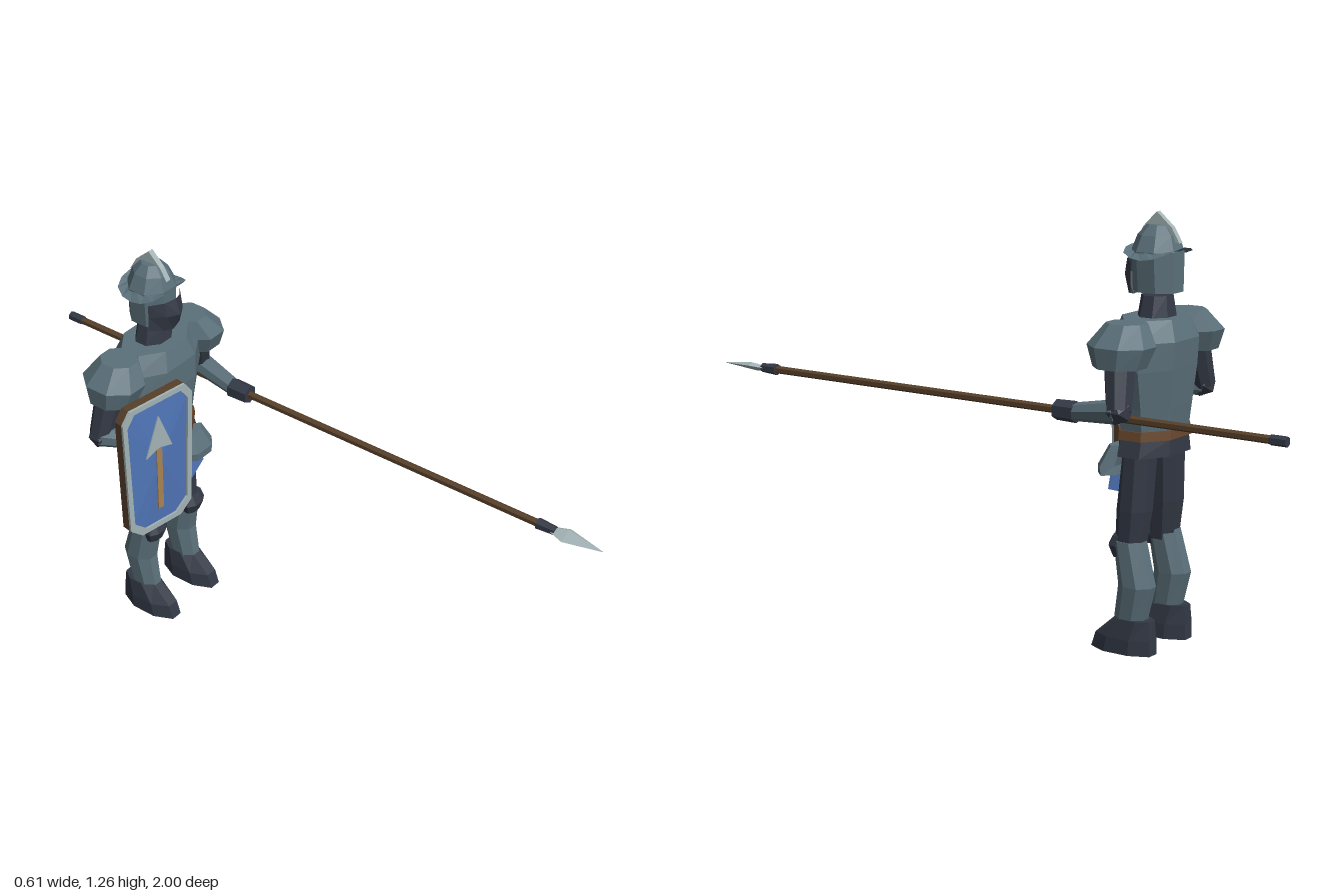
import * as THREE from 'three';

const mat = (name, color, extra = {}) =>
  Object.assign(new THREE.MeshStandardMaterial({ color, flatShading: true, ...extra }), { name });

export function createModel() {
  const steel = mat('steel', 0x5b707a);
  const dark = mat('darkSteel', 0x333945, { side: THREE.DoubleSide });
  const bright = mat('brightSteel', 0xa3b3b5, { side: THREE.DoubleSide });
  const blue = mat('blueCloth', 0x5075b8, { side: THREE.DoubleSide });
  const leather = mat('leather', 0x68472d);
  const wood = mat('shaftWood', 0x57402a);
  const gold = mat('tan', 0xa98452);

  const model = new THREE.Group();
  model.name = 'armouredSoldier';
  const body = new THREE.Group();
  body.name = 'body';
  body.position.x = 0.025;
  model.add(body);

  const add = (parent, name, geometry, material) => {
    const mesh = new THREE.Mesh(geometry, material);
    mesh.name = name;
    parent.add(mesh);
    return mesh;
  };
  const V = (x, y, z) => new THREE.Vector3(x, y, z);

  const mesh3 = (points, index) => {
    const g = new THREE.BufferGeometry();
    g.setAttribute('position', new THREE.Float32BufferAttribute(points.flat(), 3));
    g.setIndex(index);
    g.computeVertexNormals();
    return g;
  };

  // Closed eight-sided loft; each section is [y, centre x, centre z, half width, half depth], bottom to top
  const loft = (sections, n = 8) => {
    const pts = [], idx = [], k = 1 / Math.cos(Math.PI / n);
    for (const [y, cx, cz, rx, rz] of sections)
      for (let i = 0; i < n; i++) {
        const a = ((i + 0.5) / n) * Math.PI * 2;
        pts.push([cx + Math.sin(a) * rx * k, y, cz + Math.cos(a) * rz * k]);
      }
    const top = (sections.length - 1) * n, c = pts.length;
    for (const [y, cx, cz] of [sections[0], sections.at(-1)]) pts.push([cx, y, cz]);
    for (let i = 0; i < n; i++) {
      const j = (i + 1) % n;
      for (let r = 0; r < top; r += n) idx.push(r + i, r + j, r + n + j, r + i, r + n + j, r + n + i);
      idx.push(c, j, i, c + 1, top + i, top + j);
    }
    return mesh3(pts, idx);
  };

  // Tapered rod between two points
  const rod = (a, b, ra, rb, n = 8) => {
    const d = b.clone().sub(a);
    const g = new THREE.CylinderGeometry(rb, ra, d.length(), n);
    g.applyQuaternion(new THREE.Quaternion().setFromUnitVectors(V(0, 1, 0), d.normalize()));
    return g.translate(...a.clone().add(b).multiplyScalar(0.5).toArray());
  };
  const shape = (pts) => new THREE.Shape(pts.map(([x, y]) => new THREE.Vector2(x, y)));
  const plate = (pts, depth) => new THREE.ExtrudeGeometry(shape(pts), { depth, bevelEnabled: false });

  // Torso, belt and skirt
  add(body, 'breastplate', loft([
    [0.64, 0, -0.45, 0.122, 0.082], [0.72, 0, -0.45, 0.135, 0.09], [0.83, 0, -0.45, 0.158, 0.1],
    [0.91, 0, -0.452, 0.158, 0.103], [0.97, 0, -0.45, 0.115, 0.082]]), steel);
  add(body, 'belt', loft([[0.628, 0, -0.45, 0.134, 0.09], [0.655, 0, -0.45, 0.13, 0.088]]), leather);
  add(body, 'skirt', loft([[0.58, 0, -0.45, 0.14, 0.086], [0.628, 0, -0.45, 0.126, 0.084]]), dark);
  add(body, 'buckle', new THREE.BoxGeometry(0.034, 0.024, 0.008).translate(0, 0.641, -0.358), gold);
  add(body, 'neck', loft([[0.965, 0, -0.455, 0.062, 0.05], [1.03, 0, -0.455, 0.045, 0.042]]), dark);

  // Legs, tassets and shoulders, mirrored
  for (const s of [-1, 1]) {
    const side = s > 0 ? 'left' : 'right';
    add(body, side + 'Thigh', loft([
      [0.3, s * 0.09, -0.43, 0.04, 0.042], [0.42, s * 0.085, -0.44, 0.049, 0.048],
      [0.585, s * 0.075, -0.45, 0.056, 0.044]]), dark);
    add(body, side + 'Shin', loft([
      [0.09, s * 0.097, -0.437, 0.034, 0.048], [0.2, s * 0.097, -0.458, 0.042, 0.053],
      [0.33, s * 0.092, -0.43, 0.042, 0.046]]), steel);
    add(body, side + 'KneePad', loft([
      [0.28, s * 0.092, -0.4, 0.03, 0.018], [0.315, s * 0.092, -0.395, 0.042, 0.026],
      [0.345, s * 0.092, -0.402, 0.036, 0.018]]), dark);
    add(body, side + 'Boot', loft([
      [0, s * 0.098, -0.415, 0.046, 0.1], [0.045, s * 0.098, -0.422, 0.046, 0.092],
      [0.102, s * 0.098, -0.452, 0.038, 0.058]]), dark);

    add(body, side + 'Cloth', mesh3([
      [s * 0.018, 0.59, -0.368], [s * 0.11, 0.59, -0.385],
      [s * 0.118, 0.475, -0.37], [s * 0.03, 0.448, -0.353]], [0, 1, 2, 0, 2, 3]), blue);
    // Flared tasset with a raised middle
    add(body, side + 'Tasset', loft([
      [0.52, s * 0.088, -0.368, 0.056, 0.03], [0.545, s * 0.088, -0.365, 0.058, 0.028],
      [0.605, s * 0.08, -0.385, 0.042, 0.02]], 6), steel);

    add(body, side + 'Pauldron', loft([
      [0.85, s * 0.195, -0.455, 0.066, 0.072], [0.91, s * 0.186, -0.455, 0.08, 0.094],
      [0.97, s * 0.158, -0.455, 0.052, 0.056]]), steel);

    // Bent arm
    const elbow = V(s * 0.243, 0.735, s > 0 ? -0.485 : -0.465);
    const wrist = s > 0 ? V(0.22, 0.712, -0.32) : V(-0.185, 0.735, -0.335);
    add(body, side + 'UpperArm', rod(V(s * 0.19, 0.9, -0.455), elbow, 0.05, 0.037), dark);
    add(body, side + 'Elbow', new THREE.IcosahedronGeometry(0.04, 0).translate(...elbow.toArray()), dark);
    add(body, side + 'Forearm', rod(elbow, wrist, 0.036, 0.026), steel);
  }
  add(body, 'leftGauntlet', rod(V(0.22, 0.712, -0.33), V(0.22, 0.712, -0.262), 0.032, 0.03, 6), dark);
  add(body, 'rightGauntlet', new THREE.BoxGeometry(0.045, 0.05, 0.04).translate(-0.18, 0.735, -0.325), dark);

  // Helmet with crown, brim, crest and visor
  add(body, 'helmet', loft([
    [1.04, 0, -0.457, 0.062, 0.068], [1.155, 0, -0.455, 0.07, 0.07],
    [1.2, 0, -0.455, 0.05, 0.055], [1.228, 0, -0.455, 0.027, 0.03]]), steel);
  const brimPts = [], brimIdx = [];
  for (let i = 0; i < 16; i++) {
    const a = (i / 16) * Math.PI * 2, x = Math.sin(a), z = Math.cos(a);
    const q = Math.pow(Math.abs(x) ** 3 + Math.abs(z) ** 3, -1 / 3); // squared-off oval
    brimPts.push([x * 0.068, 1.155, -0.455 + z * 0.068]);
    brimPts.push([x * q * 0.096, 1.135 + 0.033 * z * z, -0.455 + z * q * 0.085]);
    const p = 2 * i, r = (2 * i + 2) % 32;
    brimIdx.push(p, p + 1, r + 1, p, r + 1, r);
  }
  const steelSheet = mat('steelSheet', 0x5b707a, { side: THREE.DoubleSide });
  add(body, 'helmetBrim', mesh3(brimPts, brimIdx), steelSheet);
  add(body, 'crest', plate([
    [-0.53, 1.18], [-0.39, 1.185], [-0.412, 1.222], [-0.455, 1.265], [-0.505, 1.222]], 0.018)
    .rotateY(-Math.PI / 2).translate(0.009, 0, 0), bright);

  // Pointed visor sheet, three rows of five points
  const visor = [], visorIdx = [];
  for (const [y, drop, out] of [[1.125, -0.01, 0.025], [1.085, 0, 0.04], [1.04, 0.016, 0.012]])
    for (let i = -2; i <= 2; i++) {
      const m = 1 - Math.abs(i) / 2;
      visor.push([i * 0.036, y - drop * m, -0.41 + 0.022 * Math.min(1, m * 2) + out * m]);
    }
  for (let r = 0; r < 2; r++)
    for (let i = 0; i < 4; i++) {
      const p = r * 5 + i;
      visorIdx.push(p, p + 5, p + 6, p, p + 6, p + 1);
    }
  add(body, 'visor', mesh3(visor, visorIdx), dark);

  // Spear
  const spear = new THREE.Group();
  spear.name = 'spear';
  spear.position.set(0.245, 0.712, 0);
  model.add(spear);
  add(spear, 'shaft', rod(V(0, 0, -0.96), V(0, 0, 0.8), 0.012, 0.012, 6), wood);
  add(spear, 'buttCap', rod(V(0, 0, -1), V(0, 0, -0.95), 0.015, 0.015, 6), dark);
  add(spear, 'socket', rod(V(0, 0, 0.785), V(0, 0, 0.845), 0.018, 0.014, 6), dark);
  const blade = loft([[0.83, 0, 0, 0.012, 0.01], [0.88, 0, 0, 0.034, 0.014], [1, 0, 0, 0.001, 0.001]], 4);
  blade.rotateY(Math.PI / 4).scale(0.72, 1, 0.72); // diamond section
  add(spear, 'spearhead', blade.rotateX(Math.PI / 2).scale(1.1, 0.6, 1), bright);

  // Shield
  const shield = new THREE.Group();
  shield.name = 'shield';
  shield.position.set(-0.17, 0.69, -0.298);
  shield.rotation.y = -0.15;
  model.add(shield);
  const outline = [[0.107, 0.235], [-0.107, 0.235], [-0.135, 0.197], [-0.122, -0.197],
    [-0.077, -0.235], [0.077, -0.235], [0.122, -0.197], [0.135, 0.197]];
  const inner = outline.map(([x, y]) => [x - Math.sign(x) * 0.017, y - Math.sign(y) * 0.017]);
  add(shield, 'shieldBack', plate(outline, 0.028).translate(0, 0, -0.013), wood);
  const rim = shape(outline);
  rim.holes.push(shape(inner));
  add(shield, 'shieldRim', new THREE.ExtrudeGeometry(rim, { depth: 0.008, bevelEnabled: false })
    .translate(0, 0, 0.015), bright);
  const fan = [];
  for (let i = 0; i < 8; i++) fan.push(8, i, (i + 1) % 8);
  add(shield, 'shieldField', mesh3([...inner.map(([x, y]) => [x, y, 0.016]), [0, 0.02, 0.03]], fan), blue);
  add(shield, 'emblemHead', plate([[-0.006, 0.178], [-0.058, 0.045], [-0.006, 0.065], [0.044, 0.052]], 0.004)
    .translate(0, 0, 0.028), bright);
  add(shield, 'emblemShaft', plate([[-0.017, 0.058], [-0.017, -0.16], [0.004, -0.16], [0.004, 0.066]], 0.004)
    .translate(0, 0, 0.027), gold);
  add(shield, 'shieldStrap', new THREE.BoxGeometry(0.03, 0.12, 0.012).translate(-0.01, 0.045, -0.018), leather);
  return model;
}
